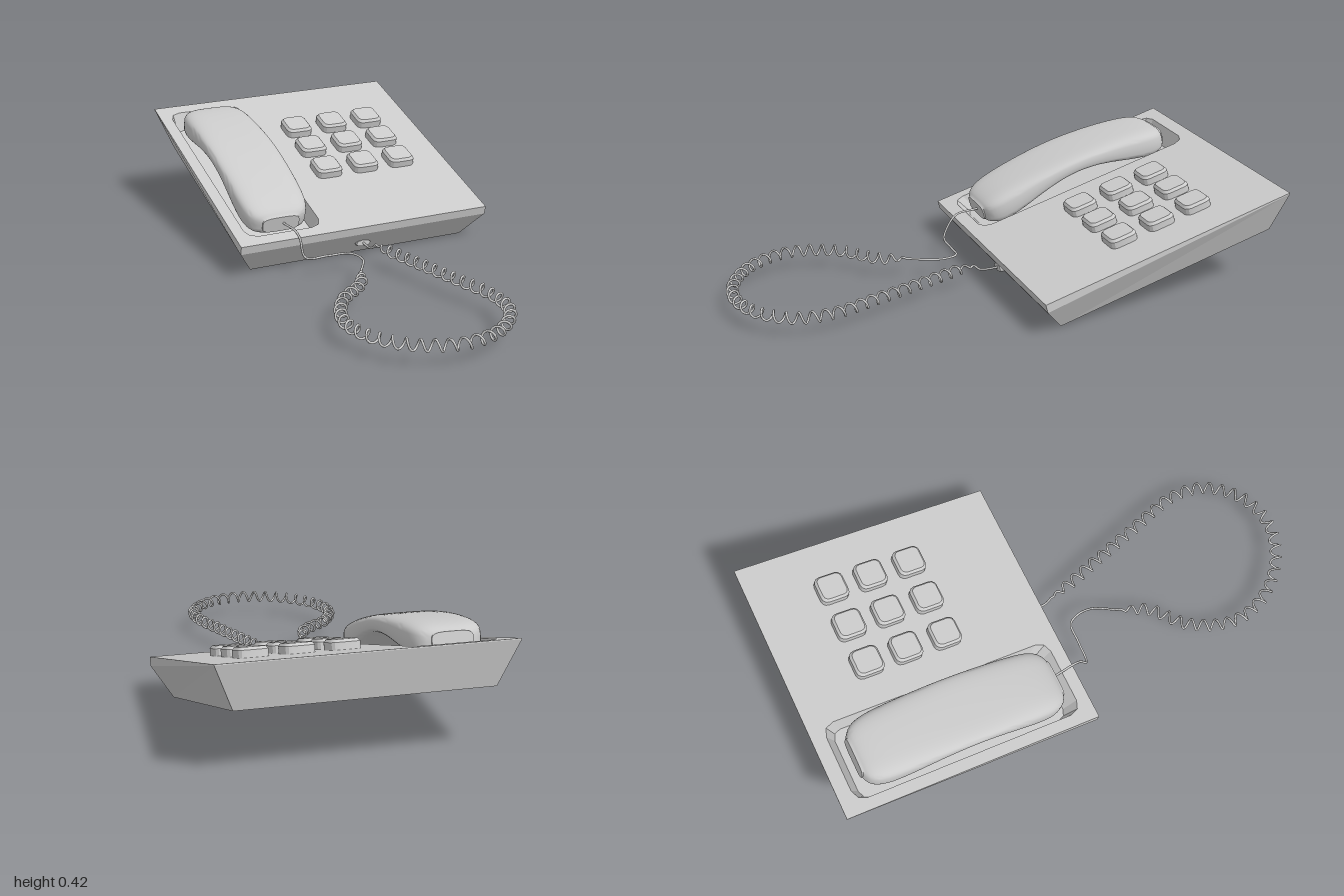
import * as THREE from 'three';
import { toCreasedNormals } from 'three/addons/utils/BufferGeometryUtils.js';

const material = new THREE.MeshStandardMaterial({ color: 0xcccccc });

function addMesh(parent, name, geometry) {
  const mesh = new THREE.Mesh(geometry, material);
  mesh.name = name;
  parent.add(mesh);
  return mesh;
}

// Skin a stack of closed rings, with optional fan caps at either end.
function loft(rings, capStart, capEnd, crease = 0) {
  const pos = [];
  const tri = (...pts) => pts.forEach((p) => pos.push(p.x, p.y, p.z));
  const n = rings[0].length;
  for (let k = 0; k < rings.length - 1; k++) {
    const a = rings[k], b = rings[k + 1];
    for (let i = 0; i < n; i++) {
      const j = (i + 1) % n;
      tri(a[i], a[j], b[j]);
      tri(a[i], b[j], b[i]);
    }
  }
  const first = rings[0], last = rings[rings.length - 1];
  for (let i = 1; i < n - 1; i++) {
    if (capStart) tri(first[0], first[i + 1], first[i]);
    if (capEnd) tri(last[0], last[i], last[i + 1]);
  }
  const g = new THREE.BufferGeometry();
  g.setAttribute('position', new THREE.Float32BufferAttribute(pos, 3));
  g.computeVertexNormals();
  return crease ? toCreasedNormals(g, crease) : g;
}

// Horizontal rectangle with rounded corners (steps = 1 gives chamfers).
function roundedRing(cx, u, halfX, halfU, r, y, steps) {
  const ring = [];
  [[1, 1], [-1, 1], [-1, -1], [1, -1]].forEach(([sx, su], q) => {
    for (let i = 0; i <= steps; i++) {
      const a = (q + i / steps) * Math.PI / 2;
      ring.push(new THREE.Vector3(
        cx + sx * (halfX - r) + r * Math.cos(a), y,
        -(u + su * (halfU - r) + r * Math.sin(a))));
    }
  });
  return ring;
}

// Four-cornered ring: front edge at u0, back edge at u1.
function rectRing(halfX, u0, u1, yFront, yBack) {
  return [
    new THREE.Vector3(halfX, yFront, -u0), new THREE.Vector3(halfX, yBack, -u1),
    new THREE.Vector3(-halfX, yBack, -u1), new THREE.Vector3(-halfX, yFront, -u0),
  ];
}

function buildBase(parent) {
  // Tapered underside with a thin lip along the front
  addMesh(parent, 'baseShell', loft([
    rectRing(0.45, 0.057, 0.96, -0.1545, -0.1545),
    rectRing(0.517, 0, 1.035, -0.034, -0.004),
    rectRing(0.517, 0, 1.035, 0, 0),
  ], true, false));

  // Sloping cradle pocket
  const rim = roundedRing(-0.318, 0.516, 0.153, 0.464, 0.045, 0, 2);
  const floor = roundedRing(-0.318, 0.516, 0.138, 0.425, 0.035, -0.065, 2);
  addMesh(parent, 'cradleRecess', loft([rim, floor], false, true));

  // Top panel, open over the pocket
  const panel = new THREE.Shape([
    new THREE.Vector2(-0.517, 0), new THREE.Vector2(0.517, 0),
    new THREE.Vector2(0.517, 1.035), new THREE.Vector2(-0.517, 1.035),
  ]);
  panel.holes.push(new THREE.Path(rim.map((p) => new THREE.Vector2(p.x, -p.z))));
  addMesh(parent, 'topPanel', new THREE.ShapeGeometry(panel).rotateX(-Math.PI / 2));
}

function buildButtons(parent) {
  const buttons = new THREE.Group();
  buttons.name = 'buttons';
  parent.add(buttons);
  for (const u of [0.41, 0.572, 0.73]) {
    for (const x of [0, 0.16, 0.32]) {
      addMesh(buttons, 'button', loft([
        roundedRing(x, u, 0.054, 0.056, 0.024, -0.005, 3),
        roundedRing(x, u, 0.054, 0.056, 0.024, 0.026, 3),
        roundedRing(x, u, 0.046, 0.048, 0.02, 0.036, 3),
      ], false, true, 0.5));
    }
  }
}

// Arched handset: soft rectangular sections swept from front to back
function buildHandset(parent) {
  const rings = [], stations = 40, sides = 36;
  const soft = (v) => Math.sign(v) * Math.abs(v) ** 0.52;
  for (let k = 0; k <= stations; k++) {
    const q = -Math.cos(Math.PI * k / stations);
    const s = Math.max(0.55, Math.max(0, 1 - Math.abs(q) ** 8) ** 0.25);
    const top = 0.103 - 0.04 * q * q;
    const bottom = -0.05 + 0.083 * Math.cos(Math.PI * q / 2) ** 2;
    const ring = [];
    for (let i = 0; i < sides; i++) {
      const a = i / sides * Math.PI * 2;
      ring.push(new THREE.Vector3(
        -0.321 - 0.135 * s * soft(Math.cos(a)),
        (top + bottom) / 2 + s * (top - bottom) / 2 * soft(Math.sin(a)),
        -(0.51 + 0.415 * q)));
    }
    rings.push(ring);
  }
  addMesh(parent, 'handset', loft(rings, true, true, 0.9));
}

// Straight leads at both ends of a coiled loop lying in front of the base
function buildCord(parent) {
  const v = (x, y, z) => new THREE.Vector3(x, y, z);
  const loop = new THREE.CatmullRomCurve3([
    [-0.155, 0.27], [-0.21, 0.38], [-0.33, 0.49], [-0.395, 0.65], [-0.36, 0.8],
    [-0.25, 0.92], [-0.1, 0.972], [0.05, 0.93], [0.155, 0.81], [0.172, 0.68],
    [0.12, 0.48], [0.06, 0.27], [0.02, 0.13], [0.005, 0.06],
  ].map(([x, z]) => v(x, 0.08, z)));

  const points = [
    v(-0.315, 0.17, -0.13), v(-0.31, 0.168, -0.08), v(-0.3, 0.165, 0),
    v(-0.295, 0.145, 0.03), v(-0.288, 0.08, 0.065), v(-0.2, 0.075, 0.073),
    v(-0.125, 0.075, 0.08), v(-0.103, 0.078, 0.12), v(-0.105, 0.08, 0.18),
  ];
  const turns = 42, samples = turns * 10;
  for (let i = 0; i <= samples; i++) {
    const t = i / samples;
    const c = loop.getPointAt(t), d = loop.getTangentAt(t);
    const r = 0.02 * Math.min(1, t * 25, (1 - t) * 25);
    const a = t * turns * Math.PI * 2;
    points.push(v(c.x + d.z * r * Math.cos(a), c.y + r * Math.sin(a), c.z - d.x * r * Math.cos(a)));
  }
  points.push(v(0, 0.056, 0.03), v(0, 0.052, -0.07));

  const path = new THREE.CatmullRomCurve3(points);
  path.arcLengthDivisions = 4000;
  addMesh(parent, 'cord', new THREE.TubeGeometry(path, 1800, 0.0045, 6));

  // Small plug where the cord enters the base
  const plug = addMesh(parent, 'cordPlug', new THREE.CylinderGeometry(0.03, 0.034, 0.02, 8));
  plug.scale.z = 0.45;
  plug.rotation.x = Math.PI / 2;
  plug.position.set(0, 0.052, -0.05);
}

export function createModel() {
  const phone = new THREE.Group();
  phone.name = 'telephone';

  // Body parts share one frame tilted up toward the back
  const body = new THREE.Group();
  body.name = 'tiltedBody';
  body.position.y = 0.135;
  body.rotation.x = 0.259;
  phone.add(body);

  buildBase(body);
  buildButtons(body);
  buildHandset(body);
  buildCord(phone);
  return phone;
}
